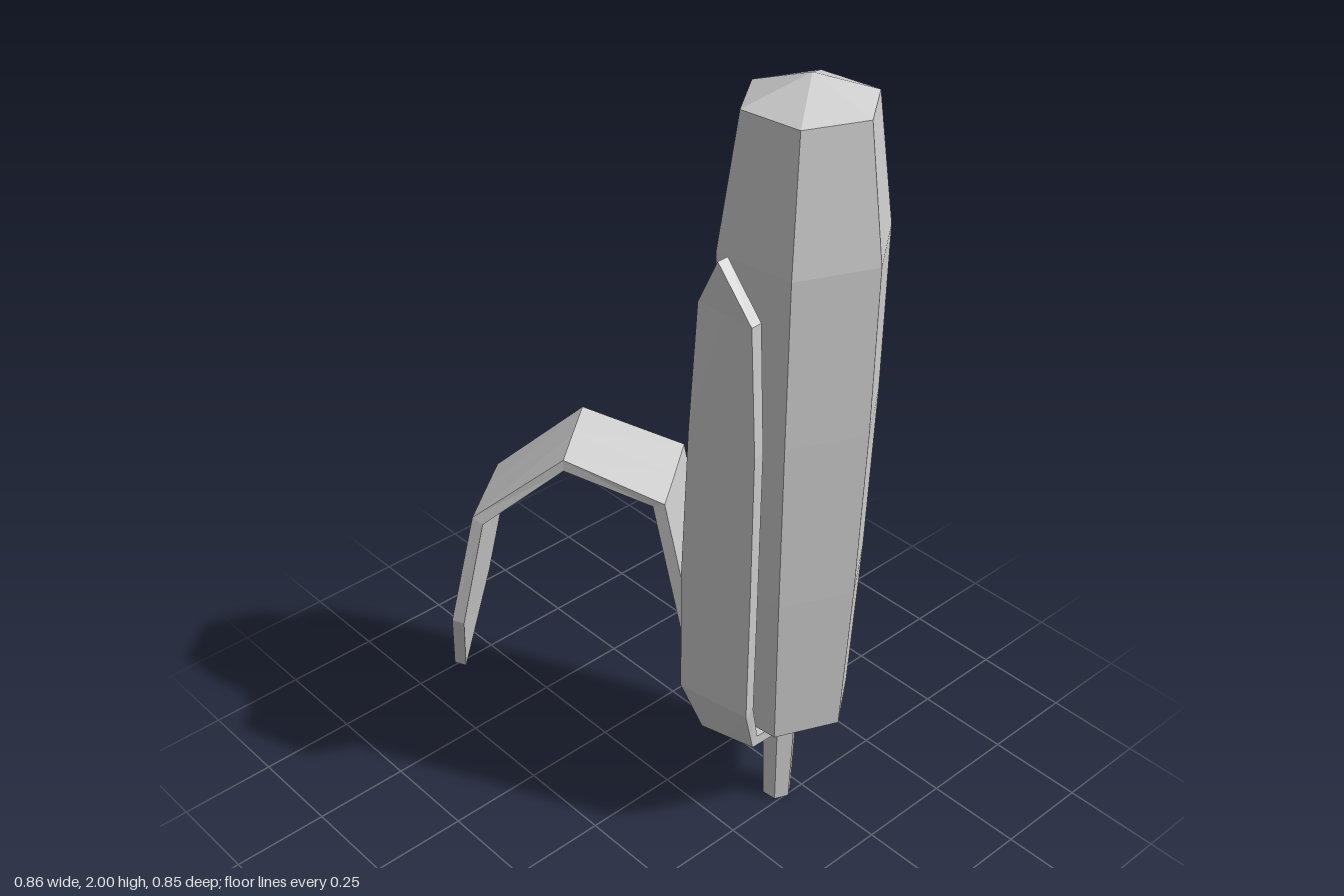
import * as THREE from 'three';

const TURN = 0.113; // rotation of the six-sided cob and stem
const material = new THREE.MeshStandardMaterial({ color: 0xcccccc, flatShading: true });

function addMesh(group, geometry, name) {
  const mesh = new THREE.Mesh(geometry, material);
  mesh.name = name;
  group.add(mesh);
}

// Six-sided turned solid from [radius, height] pairs, bottom to top
function hexLathe(profile, x, z) {
  const points = profile.map(([r, y]) => new THREE.Vector2(r, y));
  return new THREE.LatheGeometry(points, 6, TURN).translate(x, 0, z);
}

// Leaf of even thickness. Rows run base to tip; each row is [left, right, ridge],
// seen from outside. The ridge defaults to the midpoint; the tip is one point.
function leafGeometry(rows, tip, thickness) {
  const outer = [];
  for (const [l, r, m] of [...rows, [tip, tip, tip]]) {
    const ridge = m || l.map((v, i) => (v + r[i]) / 2);
    outer.push(...l, ...ridge, ...r);
  }
  const n = rows.length + 1;
  const k = n * 3;
  const faces = [];
  const quad = (a, b, c, d) => faces.push(a, b, c, a, c, d);
  for (let i = 0; i < n - 1; i++) {
    for (let j = 0; j < 2; j++) {
      const a = i * 3 + j;
      quad(a, a + 1, a + 4, a + 3);
    }
  }
  const skin = new THREE.BufferGeometry();
  skin.setAttribute('position', new THREE.Float32BufferAttribute(outer, 3));
  skin.setIndex([...faces]);
  skin.computeVertexNormals();

  // Offset the inner skin, with one shared normal at the tip
  const normals = Array.from({ length: k }, (_, i) =>
    new THREE.Vector3().fromBufferAttribute(skin.attributes.normal, i));
  const tipNormal = new THREE.Vector3();
  for (let i = k - 3; i < k; i++) tipNormal.add(normals[i]);
  tipNormal.normalize();
  normals.fill(tipNormal, k - 3);
  const inner = normals.flatMap((v, i) =>
    v.toArray().map((c, axis) => outer[i * 3 + axis] - c * thickness));

  // Inner skin, side walls and base wall
  const outerCount = faces.length;
  for (let f = 0; f < outerCount; f += 3) faces.push(faces[f] + k, faces[f + 2] + k, faces[f + 1] + k);
  for (let i = 0; i < n - 1; i++) {
    const l = i * 3, r = l + 2;
    quad(l, l + 3, l + 3 + k, l + k);
    quad(r, r + k, r + 3 + k, r + 3);
  }
  for (let j = 0; j < 2; j++) quad(j, j + k, j + 1 + k, j + 1);

  const geometry = new THREE.BufferGeometry();
  geometry.setAttribute('position', new THREE.Float32BufferAttribute([...outer, ...inner], 3));
  geometry.setIndex(faces);
  const flat = geometry.toNonIndexed();
  flat.computeVertexNormals();
  return flat;
}

export function createModel() {
  const group = new THREE.Group();
  group.name = 'cornCob';

  addMesh(group, hexLathe([
    [0, 0.25], [0.04, 0.25], [0.17, 0.33], [0.19, 0.75], [0.202, 1.2],
    [0.204, 1.62], [0.157, 1.94], [0, 2],
  ], 0.198, 0.222), 'cob');

  addMesh(group, hexLathe([[0, 0], [0.038, 0], [0.046, 0.27]], 0.19, 0.218), 'stem');

  // Tall creased husk wrapping the back left corner
  addMesh(group, leafGeometry([
    [[0.22, 0.22, 0.22], [0.19, 0.22, 0.18], [0.22, 0.21, 0.185]],
    [[0.385, 0.29, 0.22], [0.21, 0.29, 0.01], [0.385, 0.27, 0.07]],
    [[0.4, 0.8, 0.24], [0.185, 0.8, -0.035], [0.385, 0.8, 0.03]],
    [[0.43, 1.35, 0.245], [0.2, 1.35, -0.012], [0.39, 1.35, 0.03]],
    [[0.425, 1.69, 0.235], [0.235, 1.69, 0.03], [0.385, 1.7, 0.065]],
  ], [0.37, 1.8, 0.105], 0.04), 'tallHusk');

  // Narrow husk standing on the right side
  addMesh(group, leafGeometry([
    [[0.16, 0.23, 0.19], [0.16, 0.23, 0.24]],
    [[-0.01, 0.29, 0.14], [0.02, 0.3, 0.29]],
    [[-0.07, 0.45, 0.125], [-0.037, 0.45, 0.32]],
    [[-0.07, 0.8, 0.125], [-0.035, 0.8, 0.32]],
    [[-0.055, 1.2, 0.13], [-0.035, 1.2, 0.32]],
    [[-0.04, 1.52, 0.14], [-0.035, 1.52, 0.3]],
  ], [-0.041, 1.64, 0.2], 0.03), 'sideHusk');

  // Peeled husk arching out and drooping, its outer skin turned underneath
  addMesh(group, leafGeometry([
    [[0.185, 0.23, 0.18], [0.155, 0.23, 0.205]],
    [[0.16, 0.3, 0.02], [-0.01, 0.3, 0.14]],
    [[0.115, 0.95, -0.102], [-0.085, 0.95, 0.043]],
    [[-0.028, 1.03, -0.256], [-0.218, 1.03, -0.118]],
    [[-0.175, 0.88, -0.385], [-0.365, 0.88, -0.245]],
    [[-0.238, 0.59, -0.406], [-0.416, 0.59, -0.278]],
  ], [-0.352, 0.36, -0.375], 0.03), 'peeledHusk');

  return group;
}
